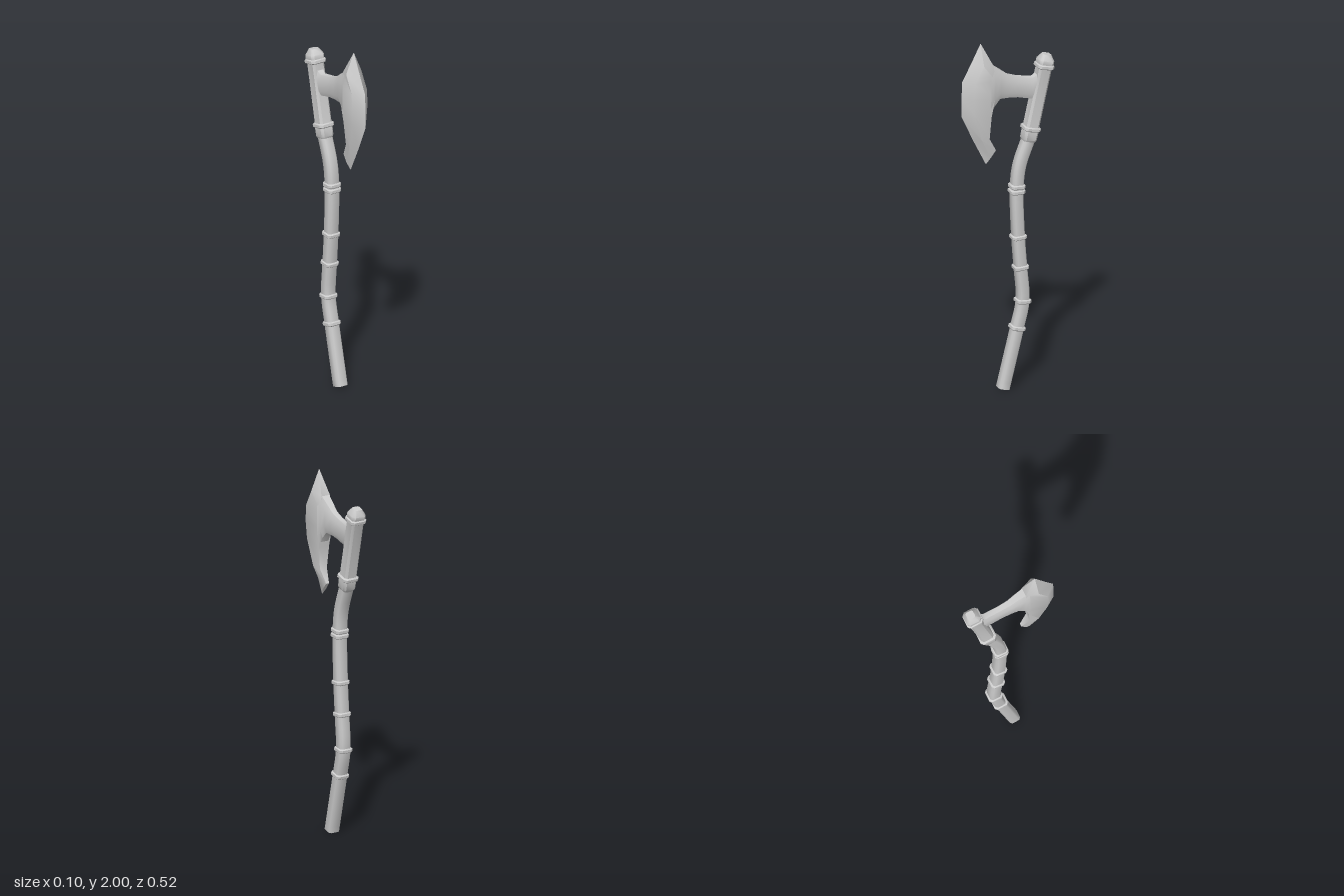
import * as THREE from 'three';
import { toCreasedNormals } from 'three/addons/utils/BufferGeometryUtils.js';

const material = new THREE.MeshStandardMaterial({ color: 0xcccccc });

// Skin a row of equal loops (each turning counter-clockwise about the advance direction), capped at both ends
function loft(name, loops, crease) {
  const n = loops[0].length, rows = loops.length;
  const positions = loops.flat().flatMap((p) => [p.x, p.y, p.z]);
  const index = [];
  for (let i = 0; i < rows - 1; i++) {
    for (let j = 0; j < n; j++) {
      const a = i * n + j, b = i * n + ((j + 1) % n);
      index.push(a, b, a + n, b, b + n, a + n);
    }
  }
  const end = (rows - 1) * n;
  for (let j = 1; j < n - 1; j++) index.push(0, j + 1, j, end, end + j, end + j + 1);
  const geometry = new THREE.BufferGeometry();
  geometry.setAttribute('position', new THREE.Float32BufferAttribute(positions, 3));
  geometry.setIndex(index);
  const mesh = new THREE.Mesh(toCreasedNormals(geometry, crease), material);
  mesh.name = name;
  return mesh;
}

// Square loop with softened corners, square to a tangent lying in the yz plane
function squareLoop(center, tangent, half, depth = half) {
  const k = 0.68;
  const outline = [[1, -k], [1, k], [k, 1], [-k, 1], [-1, k], [-1, -k], [-k, -1], [k, -1]];
  const side = new THREE.Vector3(0, tangent.z, -tangent.y);
  return outline.map(([u, v]) => center.clone()
    .addScaledVector(side, v * depth)
    .add(new THREE.Vector3(u * half, 0, 0)));
}

// Straight piece along an axis, from [distance, half width] pairs
const turned = (name, origin, axis, profile) => loft(name,
  profile.map(([d, h]) => squareLoop(origin.clone().addScaledVector(axis, d), axis, h)), 0.7);

const ringProfile = (half) => [[-0.012, half - 0.005], [-0.007, half], [0.007, half], [0.012, half - 0.005]];

export function createModel() {
  const group = new THREE.Group();
  group.name = 'axe';
  const yz = (y, z) => new THREE.Vector3(0, y, z);

  // Curved wooden handle
  const path = new THREE.CatmullRomCurve3([
    yz(0.01, 0.027), yz(0.18, -0.015), yz(0.345, -0.055), yz(0.495, -0.087), yz(0.69, -0.074),
    yz(0.865, -0.061), yz(1.14, -0.053), yz(1.27, -0.068), yz(1.42, -0.122),
  ], false, 'centripetal');
  const steps = 40;
  const handleLoops = [];
  for (let i = 0; i <= steps; i++) {
    const t = i / steps;
    handleLoops.push(squareLoop(path.getPoint(t), path.getTangent(t), 0.033, 0.031));
  }
  group.add(loft('handle', handleLoops, 0.9));

  // Binding rings along the handle
  const samples = path.getPoints(400);
  for (const y of [0.345, 0.495, 0.69, 0.865, 1.127, 1.155]) {
    let best = 0;
    samples.forEach((p, i) => { if (Math.abs(p.y - y) < Math.abs(samples[best].y - y)) best = i; });
    group.add(turned('handleRing', samples[best], path.getTangent(best / 400), ringProfile(0.04)));
  }

  // Tilted socket with chamfered foot and cap
  const foot = yz(1.4, -0.117);
  const axis = yz(0.49, -0.11).normalize();
  group.add(turned('socket', foot, axis,
    [[0, 0.03], [0.015, 0.038], [0.06, 0.039], [0.085, 0.037], [0.43, 0.037],
      [0.445, 0.041], [0.465, 0.041], [0.497, 0.022]]));
  for (const d of [0.077, 0.43]) {
    group.add(turned('socketRing', foot.clone().addScaledVector(axis, d), axis, ringProfile(0.047)));
  }

  // Neck joining socket and blade: [z, bottom, top, half width]
  const neck = [
    [-0.165, 1.632, 1.78, 0.03], [-0.14, 1.645, 1.766, 0.026], [-0.055, 1.667, 1.783, 0.025],
    [0, 1.673, 1.802, 0.027], [0.05, 1.675, 1.84, 0.033], [0.085, 1.635, 1.865, 0.038],
    [0.11, 1.59, 1.88, 0.042],
  ];
  group.add(loft('neck', neck.map(([z, low, high, w]) => {
    const mid = (low + high) / 2, h = (high - low) / 2;
    return [[1, -0.55], [1, 0.55], [0.6, 1], [-0.6, 1], [-1, 0.55], [-1, -0.55], [-0.6, -1], [0.6, -1]]
      .map(([u, v]) => new THREE.Vector3(u * w, mid + v * h, z));
  }), 1.0));

  // Bearded blade, rows from top to bottom: cutting edge [z, y], ridge [z, y, half width], back [z, y, half width]
  const blade = [
    [[0.156, 2.0], [0.155, 1.999, 0.001], [0.154, 1.998, 0.001]],
    [[0.21, 1.893], [0.155, 1.885, 0.049], [0.09, 1.87, 0.026]],
    [[0.262, 1.795], [0.207, 1.79, 0.05], [0.085, 1.79, 0.038]],
    [[0.265, 1.7], [0.212, 1.7, 0.049], [0.085, 1.69, 0.038]],
    [[0.266, 1.6], [0.205, 1.605, 0.045], [0.105, 1.58, 0.032]],
    [[0.2, 1.455], [0.163, 1.46, 0.033], [0.112, 1.455, 0.022]],
    [[0.125, 1.305], [0.1, 1.342, 0.011], [0.07, 1.38, 0.009]],
  ];
  group.add(loft('blade', blade.map(([edge, ridge, back]) => {
    const at = ([z, y, w = 0], s) => new THREE.Vector3(s * w, y, z);
    return [at(back, 1), at(ridge, 1), at(edge, 0), at(ridge, -1), at(back, -1)];
  }), 0.9));

  return group;
}
